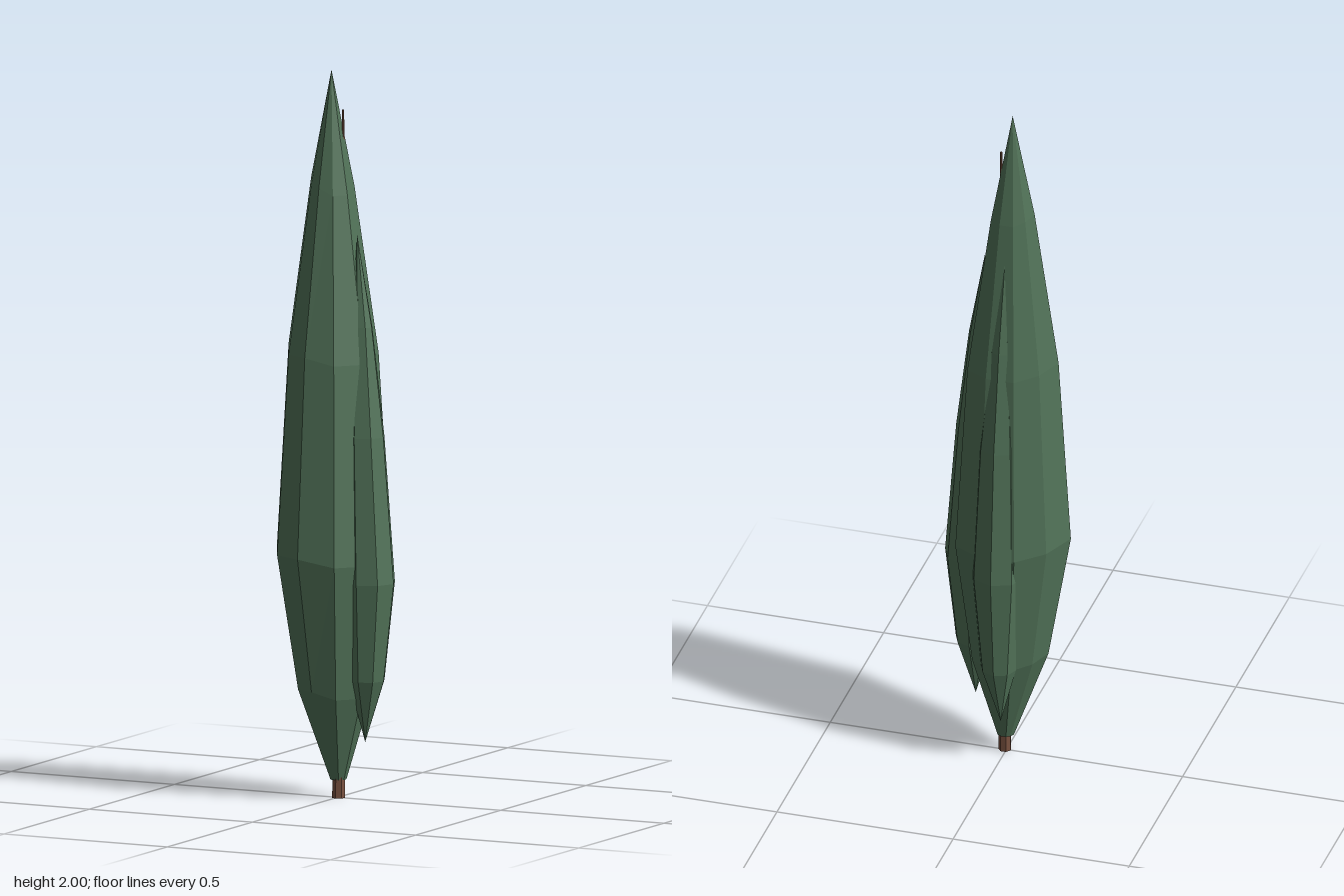
import * as THREE from 'three';

const foliageMat = new THREE.MeshStandardMaterial({ color: 0x53755a, flatShading: true });
foliageMat.name = 'cypress green';
const barkMat = new THREE.MeshStandardMaterial({ color: 0x7a5240, flatShading: true });
barkMat.name = 'bark brown';

// Faceted spindle: outline is a ring of [x, z] offsets, levels are [y, scale, centreX, centreZ]
function spindle(name, outline, levels) {
  const n = outline.length, pos = [], index = [];
  levels.forEach(([y, s, cx, cz]) =>
    outline.forEach(([x, z, lift = 0]) => pos.push(cx + x * s, y + (s > 0.3 ? lift : 0), cz + z * s)));
  for (let r = 0; r < levels.length - 1; r++) {
    for (let i = 0; i < n; i++) {
      const j = (i + 1) % n, a = r * n + i, b = r * n + j;
      if (levels[r][1] > 0) index.push(a, a + n, b);
      if (levels[r + 1][1] > 0) index.push(b, a + n, b + n);
    }
  }
  const geo = new THREE.BufferGeometry();
  geo.setAttribute('position', new THREE.Float32BufferAttribute(pos, 3));
  geo.setIndex(index);
  geo.computeVertexNormals();
  const mesh = new THREE.Mesh(geo, foliageMat);
  mesh.name = name;
  return mesh;
}

// Regular outline with a starting angle
function ring(n, rx, rz, start = 0) {
  return Array.from({ length: n }, (_, i) => {
    const a = start + (i / n) * Math.PI * 2;
    return [Math.cos(a) * rx, Math.sin(a) * rz];
  });
}

export function createModel() {
  const group = new THREE.Group();
  group.name = 'cypressTree';

  // Main crown: nine slightly irregular sides, apex leaning a little to -x
  const crown = [
    [0.145, 0.04, -0.02], [0.072, 0.125, -0.02], [-0.029, 0.147, 0], [-0.116, 0.1, 0],
    [-0.163, 0.01, 0.02], [-0.118, -0.072, 0.01], [-0.042, -0.125, 0],
    [0.058, -0.125, 0], [0.136, -0.086, 0],
  ];
  group.add(spindle('mainCrown', crown, [
    [0.05, 0, 0, 0], [0.05, 0.14, 0.002, 0], [0.3, 0.66, -0.01, 0], [0.67, 1, -0.017, 0],
    [1.22, 0.79, -0.017, 0], [1.68, 0.38, -0.017, 0], [2, 0, -0.017, 0.003],
  ]));

  // Side lobe on the +x side
  group.add(spindle('leftLobe', ring(8, 0.077, 0.072), [
    [0.16, 0, 0.09, 0.01], [0.33, 0.68, 0.094, 0.01], [0.6, 1, 0.1, 0.01],
    [1.0, 0.78, 0.085, 0.009], [1.3, 0.4, 0.077, 0.006], [1.55, 0, 0.062, 0.003],
  ]));

  // Lobe at the back
  group.add(spindle('backLobe', ring(8, 0.076, 0.074, Math.PI / 2), [
    [0.13, 0, -0.005, -0.07], [0.3, 0.65, 0, -0.074], [0.6, 1, 0, -0.076],
    [1.0, 0.78, -0.003, -0.072], [1.3, 0.42, -0.008, -0.068], [1.58, 0, -0.014, -0.058],
  ]));

  // Small lobe that barely breaks the crown on the -x side
  group.add(spindle('rightLobe', ring(7, 0.055, 0.055, 0.4), [
    [0.24, 0, -0.065, 0.04], [0.4, 0.65, -0.075, 0.045], [0.7, 1, -0.085, 0.05],
    [1.05, 0.75, -0.085, 0.045], [1.3, 0, -0.1, 0.035],
  ]));

  // Tapered trunk through the crown; its tip just shows near the top
  const trunkGeo = new THREE.CylinderGeometry(0.003, 0.018, 1.89, 7);
  trunkGeo.translate(0, 0.945, 0);
  const p = trunkGeo.attributes.position;
  for (let i = 0; i < p.count; i++) {
    const t = p.getY(i) / 1.89;
    p.setX(i, p.getX(i) + 0.005 + 0.006 * t);
    p.setZ(i, p.getZ(i) + 0.003 - 0.015 * t);
  }
  trunkGeo.computeVertexNormals();
  const trunk = new THREE.Mesh(trunkGeo, barkMat);
  trunk.name = 'trunk';
  group.add(trunk);

  return group;
}
